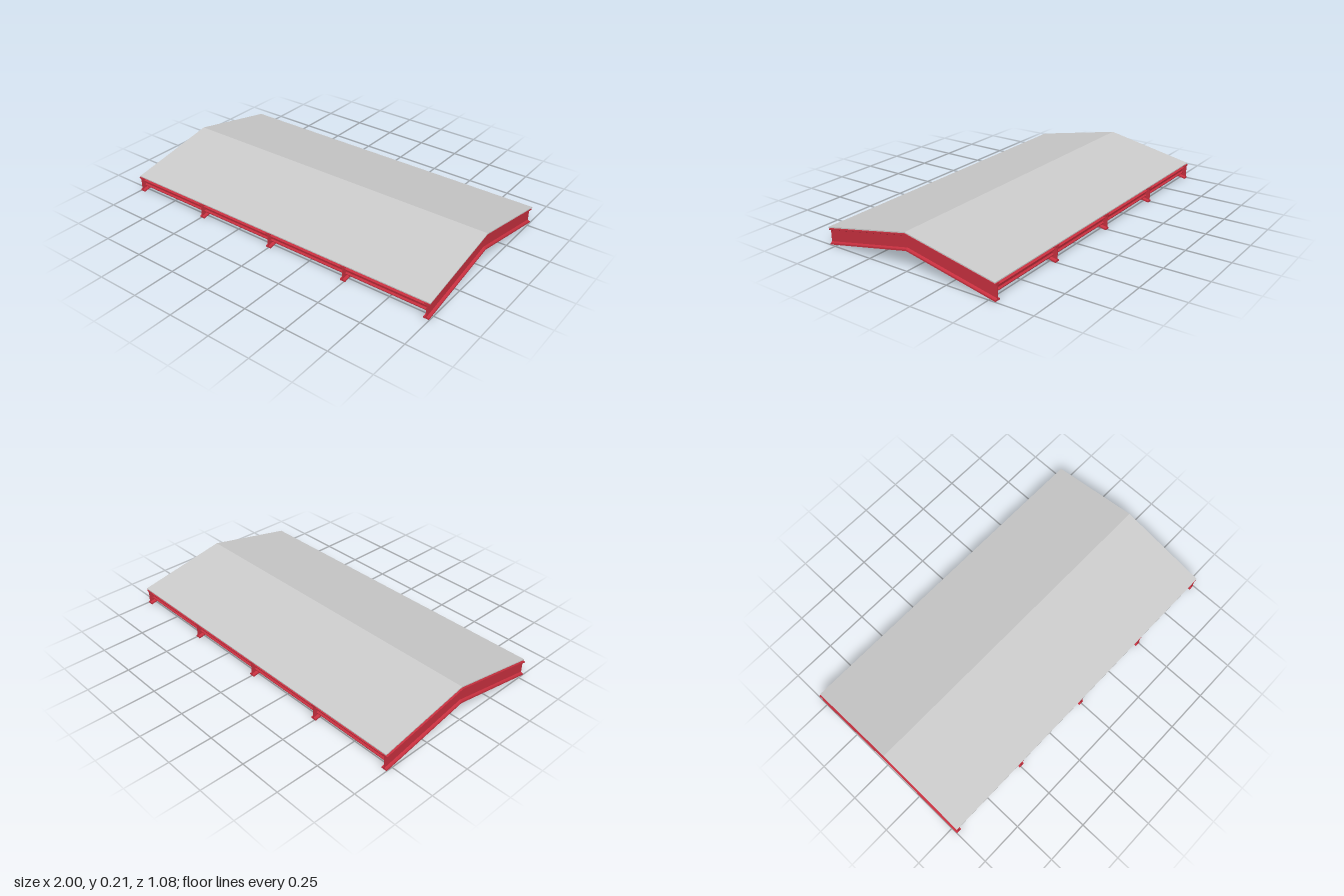
import * as THREE from 'three';

const SLOPE = 0.2, HALF_Z = 0.538, EAVE_RISE = SLOPE * HALF_Z;
const red = new THREE.MeshStandardMaterial({ color: 0xc8303f });
const grey = new THREE.MeshStandardMaterial({ color: 0xcccccc });

// I-section centred on the origin, with chamfered web-to-flange corners
function iSection(width, height, flange, web, fillet) {
  const w = width / 2, h = height / 2, t = web / 2, f = fillet;
  const quarter = [[w, h], [w, h - flange], [t + f, h - flange], [t, h - flange - f]];
  const right = [...quarter, ...quarter.map(([x, y]) => [x, -y]).reverse()];
  const left = right.map(([x, y]) => [-x, y]).reverse();
  return new THREE.Shape([...right, ...left].map(([x, y]) => new THREE.Vector2(x, y)));
}

// Bends a straight z-running extrusion into a gable by dropping it away from the ridge
function gable(shape, ridgeY) {
  const geo = new THREE.ExtrudeGeometry(shape, { depth: 2 * HALF_Z, steps: 2, bevelEnabled: false });
  geo.translate(0, 0, -HALF_Z);
  const p = geo.attributes.position;
  for (let i = 0; i < p.count; i++) {
    p.setY(i, p.getY(i) + ridgeY - SLOPE * Math.abs(p.getZ(i)));
  }
  geo.computeVertexNormals();
  return geo;
}

export function createModel() {
  const model = new THREE.Group();
  model.name = 'gableRoof';
  const add = (name, geo, material) => {
    const mesh = new THREE.Mesh(geo, material);
    mesh.name = name;
    model.add(mesh);
    return mesh;
  };

  // Five bent I-beam rafters
  const depth = 0.09;
  const rafterGeo = gable(iSection(0.032, depth, 0.008, 0.006, 0.006), EAVE_RISE + depth / 2);
  for (let i = 0; i < 5; i++) {
    add('rafter', rafterGeo, red).position.x = -0.984 + i * 0.4915;
  }

  // Purlins running the length, tilted with each slope: eave, middle and ridge
  const purlinGeo = new THREE.ExtrudeGeometry(iSection(0.026, 0.036, 0.005, 0.004, 0.003),
    { depth: 1.966, bevelEnabled: false });
  purlinGeo.translate(0, 0, -0.983).rotateY(Math.PI / 2);
  for (const side of [-1, 1]) {
    for (const z of [0.51, 0.275, 0.04]) {
      const purlin = add('purlin', purlinGeo, red);
      purlin.position.set(-0.001, EAVE_RISE + 0.048 - SLOPE * z, side * z);
      purlin.rotation.x = side * Math.atan(SLOPE);
    }
  }

  // Thin roof sheet folded at the ridge, just clear of the rafters
  const sheet = new THREE.Shape([[-0.992, 0], [1, 0], [1, 0.006], [-0.992, 0.006]]
    .map(([x, y]) => new THREE.Vector2(x, y)));
  add('roofSheet', gable(sheet, 0.202), grey);

  return model;
}
